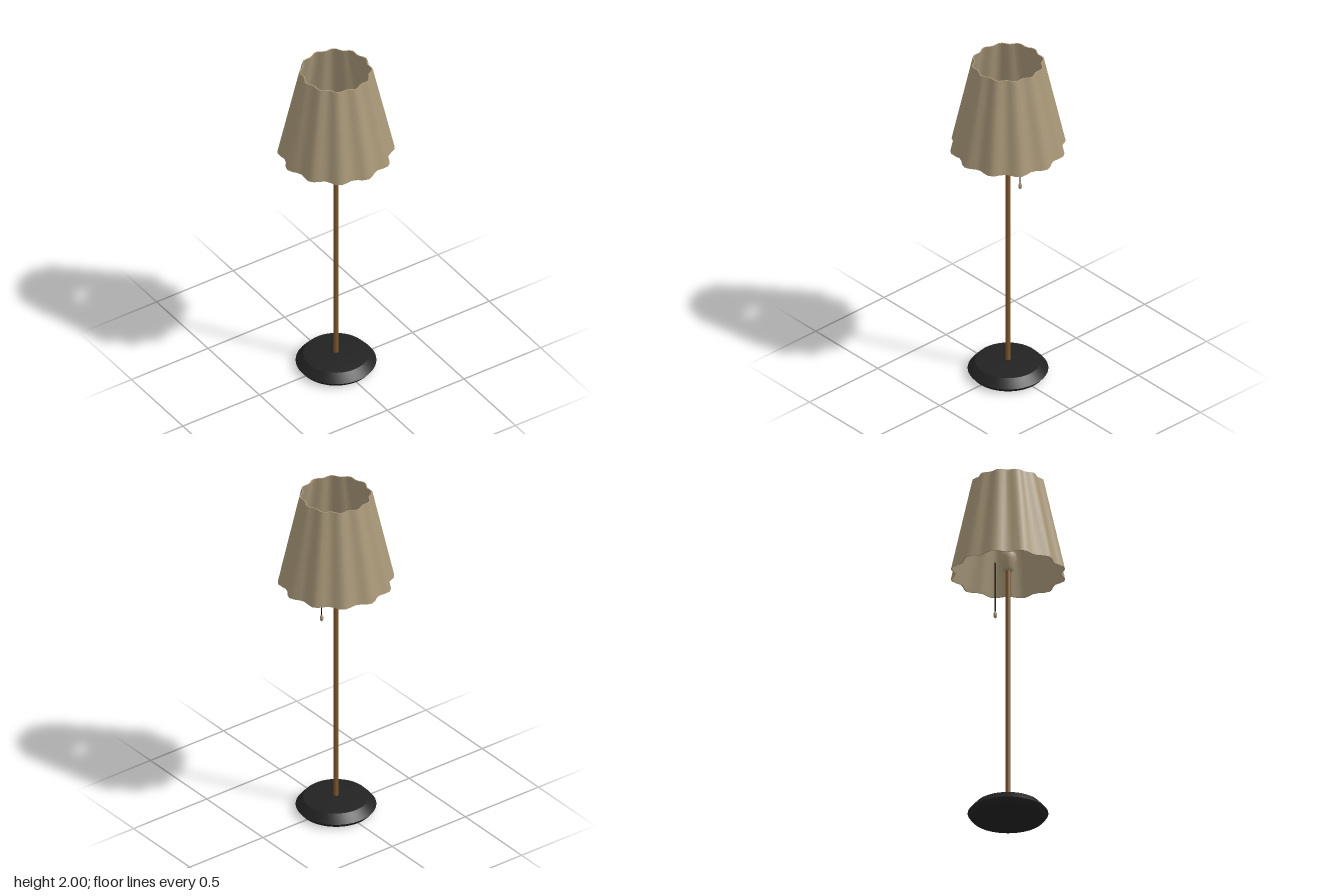
import * as THREE from 'three';
import { toCreasedNormals } from 'three/addons/utils/BufferGeometryUtils.js';

const material = (name, color) => {
  const m = new THREE.MeshStandardMaterial({ color });
  m.name = name;
  return m;
};

// Closed profile of [radius, height] pairs, listed from bottom to top
const lathe = (points, segments) =>
  new THREE.LatheGeometry(points.map(([r, y]) => new THREE.Vector2(r, y)), segments);

// Double-walled cone whose radius ripples in twelve soft pleats
function pleatedShade() {
  const wall = 0.006;
  const low = 1.46, high = 2, rLow = 0.32, rHigh = 0.2;
  const geo = lathe([
    [rLow, low], [rHigh, high], [rHigh - wall, high], [rLow - wall, low], [rLow, low],
  ], 64);
  const p = geo.attributes.position;
  for (let i = 0; i < p.count; i++) {
    const x = p.getX(i), y = p.getY(i), z = p.getZ(i);
    const t = (y - low) / (high - low);
    const depth = 0.015 - 0.007 * t;
    const r = Math.hypot(x, z);
    const k = (r - depth * (1 - Math.cos(12 * Math.atan2(z, x)))) / r;
    p.setXYZ(i, x * k, y, z * k);
  }
  return toCreasedNormals(geo, 1.1);
}

export function createModel() {
  const lamp = new THREE.Group();
  lamp.name = 'floorLamp';
  const linen = material('linen', 0xa99879);
  const brass = material('brownMetal', 0x80592d);
  const black = material('blackMetal', 0x222222);
  const cordBlack = material('cordBlack', 0x161616);

  const add = (name, geo, mat, x = 0, y = 0) => {
    const mesh = new THREE.Mesh(geo, mat);
    mesh.name = name;
    mesh.position.set(x, y, 0);
    lamp.add(mesh);
  };

  // Weighted foot with a sharp rim and a gently domed top
  add('base', toCreasedNormals(lathe([
    [0, 0], [0.2, 0.003], [0.219, 0.027], [0.2, 0.05], [0.178, 0.074],
    [0.12, 0.081], [0.06, 0.084], [0, 0.085],
  ], 64), 0.6), black);

  // Slim pole running up through the bulb
  add('pole', new THREE.CylinderGeometry(0.014, 0.014, 1.53, 24), brass, 0, 0.84);

  // Bulb, narrow at the neck and round at the top
  add('bulb', lathe([
    [0, 1.475], [0.024, 1.478], [0.031, 1.492], [0.038, 1.515], [0.044, 1.54],
    [0.046, 1.558], [0.043, 1.576], [0.034, 1.591], [0.02, 1.6], [0, 1.603],
  ], 32), linen);

  add('shade', pleatedShade(), linen);

  // Pull cord with an egg-shaped knob
  add('pullCord', new THREE.CylinderGeometry(0.003, 0.003, 0.31, 10), cordBlack, 0.098, 1.405);
  const knob = new THREE.SphereGeometry(0.01, 16, 12);
  knob.scale(1, 2, 1);
  add('pullKnob', knob, linen, 0.098, 1.248);

  return lamp;
}
